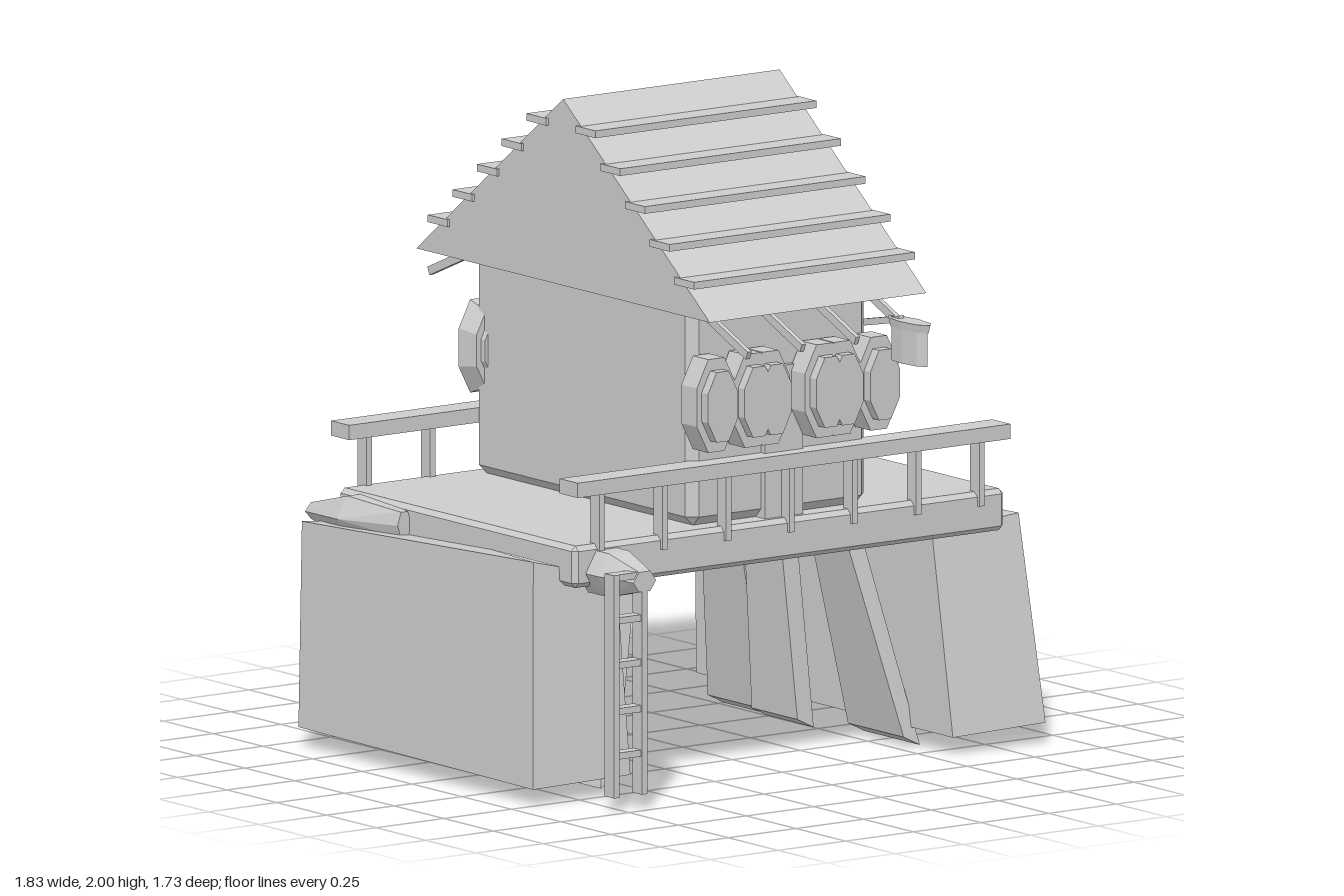
import * as THREE from 'three';
import { ConvexGeometry } from 'three/addons/geometries/ConvexGeometry.js';

export function createModel() {
  const model = new THREE.Group();
  const grey = new THREE.MeshStandardMaterial({ color: 0xcccccc, flatShading: true });
  grey.name = 'plain grey';

  function add(name, geometry, x = 0, y = 0, z = 0) {
    const mesh = new THREE.Mesh(geometry, grey);
    mesh.name = name;
    mesh.position.set(x, y, z);
    model.add(mesh);
    return mesh;
  }
  // box given by its limits on each axis
  function box(name, x0, x1, y0, y1, z0, z1) {
    return add(name, new THREE.BoxGeometry(x1 - x0, y1 - y0, z1 - z0),
      (x0 + x1) / 2, (y0 + y1) / 2, (z0 + z1) / 2);
  }
  function hull(name, points) {
    return add(name, new ConvexGeometry(points.map((p) => new THREE.Vector3(...p))));
  }
  // box with every edge chamfered by c
  function chamferBox(name, x0, x1, y0, y1, z0, z1, c) {
    const points = [];
    for (let axis = 0; axis < 3; axis++) {
      const d = [c, c, c];
      d[axis] = 0;
      for (const x of [x0 + d[0], x1 - d[0]])
        for (const y of [y0 + d[1], y1 - d[1]])
          for (const z of [z0 + d[2], z1 - d[2]]) points.push([x, y, z]);
    }
    return hull(name, points);
  }
  // hexagonal cross-section facing z
  function hexagon(x, y, z, rx, ry) {
    return [[-1, 0], [-0.5, 1], [0.5, 1], [1, 0], [0.5, -1], [-0.5, -1]]
      .map(([u, v]) => [x + u * rx, y + v * ry, z]);
  }

  // House body, door and deck
  chamferBox('houseBody', -0.33, 0.33, 0.775, 1.45, -0.605, 0.49, 0.03);
  box('door', -0.07, 0.07, 0.775, 1.235, 0.45, 0.51);
  chamferBox('deck', -0.797, 0.797, 0.65, 0.777, -0.65, 0.54, 0.015);

  // Gable roof with horizontal slats
  const ridgeZ = -0.057;
  const roofEnds = [];
  for (const x of [-0.4, 0.4])
    roofEnds.push([x, 2, ridgeZ], [x, 1.435, ridgeZ + 0.738], [x, 1.435, ridgeZ - 0.738]);
  hull('roof', roofEnds);
  for (const side of [-1, 1]) {
    for (let i = 0; i < 5; i++) {
      const z = ridgeZ + side * 0.124 * (i + 1);
      const y = 1.92 - 0.0958 * i;
      box('roofSlat', -0.408, 0.408, y - 0.011, y + 0.011, z - 0.05, z + 0.05);
    }
  }

  // Rafter tails below the eaves
  for (const x of [-0.3, -0.1, 0.1, 0.3]) {
    const front = add('frontRafter', new THREE.BoxGeometry(0.015, 0.026, 0.24), x, 1.38, 0.63);
    front.rotation.x = 0.4;
    const back = add('backRafter', new THREE.BoxGeometry(0.015, 0.026, 0.24), x, 1.393, -0.75);
    back.rotation.x = -0.4;
  }

  // Oval windows: stepped eight-sided plates
  function oval(name, x, z0, z1, rBack, rFront) {
    const geometry = new THREE.CylinderGeometry(rFront, rBack, z1 - z0, 8);
    geometry.rotateY(Math.PI / 8);
    geometry.rotateX(Math.PI / 2);
    geometry.scale(0.51, 1, 1);
    add(name, geometry, x, 1.158, (z0 + z1) / 2);
  }
  for (const x of [-0.3, -0.165, -0.1, 0.1, 0.165, 0.3]) {
    oval('frontWindowFrame', x, 0.5, 0.578, 0.153, 0.153);
    oval('frontWindowPane', x, 0.57, 0.61, 0.115, 0.115);
  }
  for (const x of [-0.3, -0.1, 0.1, 0.3]) {
    oval('backWindowFrame', x, -0.62, -0.548, 0.153, 0.125);
    oval('backWindowPane', x, -0.626, -0.53, 0.105, 0.085);
  }

  // Railings along the front and back of the deck
  for (const [railZ, postZ] of [[0.515, 0.527], [-0.634, -0.643]]) {
    box('handRail', -0.8, 0.8, 0.93, 0.975, railZ - 0.046, railZ + 0.046);
    for (let i = -3; i <= 3; i++) {
      const x = i * 0.234;
      box('railPost', x - 0.01, x + 0.01, 0.735, 0.94, postZ - 0.023, postZ + 0.023);
    }
  }

  // Massive leaning leg blocks
  hull('leftLeg', [
    [0.9, 0.065, 0.6], [0.885, 0.685, 0.485], [0.913, 0.065, -0.685], [0.895, 0.645, -0.715],
    [0.565, 0.055, 0.59], [0.565, 0.66, 0.485], [0.55, 0.06, -0.68], [0.55, 0.645, -0.69],
  ]);
  hull('rightLeg', [
    [-0.92, 0.05, 0.5], [-0.89, 0.73, 0.46], [-0.92, 0.06, -0.68], [-0.9, 0.68, -0.69],
    [-0.575, 0.06, 0.52], [-0.59, 0.655, 0.47], [-0.57, 0.06, -0.68], [-0.57, 0.65, -0.69],
  ]);

  // Slanted struts under the deck, three on each side
  for (const side of [-1, 1]) {
    for (const [topX, footX, footY, z0, z1, centre] of [
      [0.41, 0.56, 0, 0.11, 0.39, 0.2],
      [0.36, 0.41, 0.02, -0.17, 0.06, -0.055],
      [0.38, 0.49, 0, -0.5, -0.22, -0.3],
    ]) {
      const points = [];
      for (const d of [-0.03, 0.03]) {
        const lift = d > 0 ? 0 : 0.03;
        points.push([side * (footX + d), footY + lift, z0], [side * (footX + d), footY + lift, z1]);
        points.push([side * (topX + d), 0.66, centre - 0.09], [side * (topX + d), 0.66, centre + 0.09]);
      }
      hull('strut', points);
    }
  }

  // Faceted beam ends beside the deck
  hull('frontBeamEnd', [
    ...hexagon(-0.677, 0.692, 0.5, 0.08, 0.066),
    ...hexagon(-0.677, 0.692, 0.6, 0.075, 0.066),
    ...hexagon(-0.68, 0.69, 0.735, 0.042, 0.03),
  ]);
  hull('backBeam', [
    ...hexagon(-0.785, 0.69, -0.77, 0.045, 0.025),
    ...hexagon(-0.795, 0.705, -0.55, 0.08, 0.066),
    ...hexagon(-0.815, 0.72, -0.29, 0.025, 0.04),
  ]);

  // Ladder hanging from the front beam
  for (const x of [-0.783, -0.68])
    box('ladderRail', x - 0.01, x + 0.01, 0.045, 0.72, 0.686, 0.735);
  for (const y of [0.17, 0.305, 0.445, 0.58, 0.71])
    box('ladderRung', -0.783, -0.68, y - 0.01, y + 0.01, 0.69, 0.73);

  // Hanging bucket on a small arm
  const bucket = new THREE.CylinderGeometry(0.09, 0.09, 0.12, 8).scale(0.32, 1, 1);
  add('bucket', bucket, 0.28, 1.31, 0.76);
  const rim = new THREE.CylinderGeometry(0.105, 0.095, 0.025, 8).scale(0.32, 1, 1);
  add('bucketRim', rim, 0.28, 1.365, 0.76);
  const arm = add('bucketArm', new THREE.BoxGeometry(0.02, 0.02, 0.18), 0.28, 1.358, 0.63);
  arm.rotation.x = -0.2;

  return model;
}
